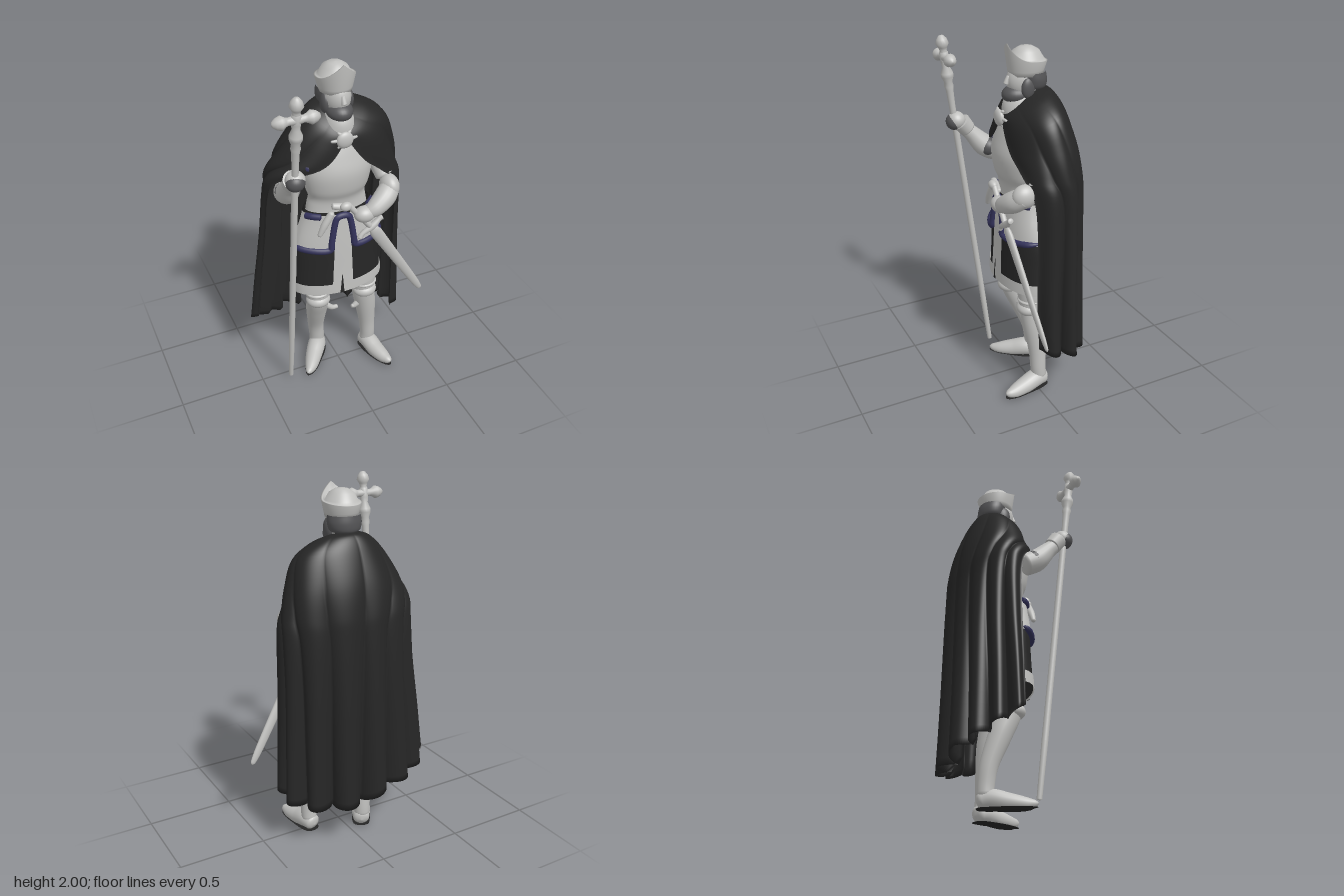
import * as THREE from 'three';

const mat = (name, color, side = THREE.FrontSide) => {
  const m = new THREE.MeshStandardMaterial({ color, side });
  m.name = name;
  return m;
};

// Catmull-Rom through rows of numbers
function spline(rows, t) {
  const n = rows.length - 1, f = Math.min(Math.max(t, 0), 1) * n;
  const i = Math.min(Math.floor(f), n - 1), s = f - i;
  const p = k => rows[Math.min(Math.max(k, 0), n)];
  return rows[0].map((_, c) => {
    const a = p(i - 1)[c], b = p(i)[c], d = p(i + 1)[c], e = p(i + 2)[c];
    return b + 0.5 * s * (d - a + s * (2 * a - 5 * b + 4 * d - e + s * (3 * (b - d) + e - a)));
  });
}

// Surface over u (around) and v (along); closed joins the two u ends
function grid(nu, nv, fn, closed = true) {
  const pos = [], idx = [], w = closed ? nu : nu + 1;
  for (let j = 0; j <= nv; j++) for (let i = 0; i < w; i++) pos.push(...fn(i / nu, j / nv));
  for (let j = 0; j < nv; j++) for (let i = 0; i < nu; i++) {
    const a = j * w + i, b = j * w + (i + 1) % w, c = a + w, d = b + w;
    idx.push(a, b, d, a, d, c);
  }
  const g = new THREE.BufferGeometry();
  g.setAttribute('position', new THREE.Float32BufferAttribute(pos, 3));
  g.setIndex(idx);
  g.computeVertexNormals();
  return g;
}

// Rounded tube through [x, y, z, radius] points
function limb(pts, nv = 32, nu = 18) {
  const at = t => new THREE.Vector3(...spline(pts, t).slice(0, 3));
  const dir = at(1).sub(at(0)).normalize();
  const ref = Math.abs(dir.z) > 0.7 ? new THREE.Vector3(0, 1, 0) : new THREE.Vector3(0, 0, 1);
  return grid(nu, nv, (u, v) => {
    const T = at(Math.min(v + 0.01, 1)).sub(at(Math.max(v - 0.01, 0))).normalize();
    const N = ref.clone().cross(T).normalize(), B = T.clone().cross(N);
    const r = spline(pts, v)[3] * Math.sqrt(Math.max(0, Math.min(1, 12 * v, 12 * (1 - v)))), a = u * Math.PI * 2;
    return at(v).addScaledVector(N, r * Math.cos(a)).addScaledVector(B, r * Math.sin(a)).toArray();
  });
}

// Upright body through [y, rx, rz, cx, cz] rows, bottom to top
const body = (rows, nv = 30) => grid(40, nv, (u, v) => {
  const [y, rx, rz, cx, cz] = spline(rows, v), a = u * Math.PI * 2;
  return [cx + rx * Math.sin(a), y, cz + rz * Math.cos(a)];
});

export function createModel() {
  const root = new THREE.Group();
  const steel = mat('light steel', 0xc0c0be), cloth = mat('black cloth', 0x262626, THREE.DoubleSide);
  const trim = mat('blue trim', 0x33325a, THREE.DoubleSide), hair = mat('dark grey', 0x545456);
  const steelPlate = mat('pale panel', 0xc0c0be, THREE.DoubleSide);
  const add = (name, geo, m, parent = root) => {
    const mesh = new THREE.Mesh(geo, m);
    mesh.name = name;
    parent.add(mesh);
    return mesh;
  };
  const ball = (name, m, x, y, z, rx, ry, rz) => {
    const b = add(name, new THREE.SphereGeometry(1, 28, 18), m);
    b.position.set(x, y, z);
    b.scale.set(rx, ry, rz);
  };

  // Head
  ball('face', steel, 0, 1.805, -0.02, 0.074, 0.1, 0.094);
  add('nose', limb([[0, 1.835, 0.066, 0.01], [0, 1.81, 0.076, 0.013], [0, 1.79, 0.084, 0.014]], 12, 10), steel);
  add('hair', body([[1.755, 0.045, 0.05, 0, -0.065], [1.77, 0.082, 0.074, 0, -0.065], [1.81, 0.094, 0.08, 0, -0.063], [1.85, 0.09, 0.082, 0, -0.055]], 16), hair);
  ball('beard', hair, 0, 1.733, 0.018, 0.07, 0.052, 0.084);
  for (const s of [-1, 1]) ball('sideWhiskers', hair, s * 0.068, 1.775, -0.012, 0.022, 0.055, 0.038);

  // Hat: flared wall peaked in front, domed crown inside
  const hatProfile = [[0.1, 1.835, 0], [0.82, 1.835, 0], [0.87, 1.86, 0], [1, 0, 1], [0.92, 0, 1], [0.82, 1.92, 0], [0.62, 1.957, 0], [0.32, 1.977, 0], [0.001, 1.98, 0]];
  add('hat', grid(48, 8, (u, v) => {
    const a = u * Math.PI * 2, [r, y, isRim] = hatProfile[Math.round(v * 8)];
    const rim = 1.915 + (Math.cos(a) > 0 ? 0.085 * (1 - Math.abs(Math.sin(a))) : 0.012 * Math.cos(a));
    return [r * 0.105 * Math.sin(a), isRim ? rim : y, -0.033 + r * 0.113 * Math.cos(a)];
  }), steel);

  // Neck, breastplate and waist
  add('mailCollar', body([[1.56, 0.1, 0.08, 0, 0.01], [1.65, 0.09, 0.1, 0, 0], [1.71, 0.078, 0.095, 0, -0.01], [1.76, 0.06, 0.07, 0, -0.03]]), steel);
  add('breastplate', body([[1.14, 0.18, 0.105, -0.01, 0], [1.2, 0.17, 0.1, -0.01, 0], [1.25, 0.162, 0.1, -0.01, 0.005], [1.31, 0.18, 0.118, -0.01, 0.01], [1.41, 0.198, 0.128, -0.01, 0.01],
    [1.5, 0.19, 0.115, -0.01, 0], [1.58, 0.14, 0.085, 0, 0], [1.66, 0.07, 0.06, 0, -0.01]]), steel);
  ball('armpitLining', trim, -0.195, 1.465, 0.04, 0.038, 0.042, 0.05);

  // Skirt with panels laid on its front
  const skirtRows = [[0.65, 0.272, 0.142, -0.008, -0.005], [0.8, 0.262, 0.135, -0.008, -0.005], [0.96, 0.25, 0.128, -0.008, -0.005], [1.18, 0.19, 0.11, -0.008, 0]];
  const skirtAt = y => spline(skirtRows, y < 0.8 ? (y - 0.65) / 0.45 : y < 0.96 ? 1 / 3 + (y - 0.8) / 0.48 : 2 / 3 + (y - 0.96) / 0.66);
  add('skirt', body(skirtRows), cloth);
  const onSkirt = (x, y, off) => {
    const [, rx, rz, cx, cz] = skirtAt(y);
    const a = Math.asin(Math.min(1, Math.max(-1, (x - cx) / rx)));
    return [cx + (rx + off) * Math.sin(a), y, cz + (rz + off) * Math.cos(a)];
  };
  // Panel from bottom edge l0..r0 at y0 to top edge l1..r1 at y1
  const panel = (name, m, y0, l0, r0, y1, l1, r1, off) => add(name, grid(24, 12, (u, v) => {
    const l = l0 + (l1 - l0) * v, r = r0 + (r1 - r0) * v;
    return onSkirt(l + (r - l) * u, y0 + (y1 - y0) * v, off);
  }, false), m);
  panel('skirtHem', steelPlate, 0.645, -0.29, 0.28, 0.71, -0.29, 0.27, 0.006);
  panel('skirtCentreStrip', steelPlate, 0.66, -0.09, 0.035, 1.15, -0.06, 0.02, 0.007);
  panel('skirtSlit', cloth, 0.645, -0.047, -0.023, 0.77, -0.034, -0.031, 0.011);
  panel('rightTasset', steelPlate, 0.95, -0.27, -0.085, 1.17, -0.21, -0.055, 0.012);
  panel('leftTasset', steelPlate, 0.95, 0.035, 0.26, 1.17, 0.015, 0.2, 0.012);

  // Raised blue edging
  const edging = (name, pts) => add(name, limb(pts.map(([x, y]) => [...onSkirt(x, y, 0.012), 0.018]), 56, 10), trim);
  edging('tassetEdging', [[-0.256, 0.965], [-0.24, 0.957], [-0.17, 0.95], [-0.097, 0.95], [-0.087, 1.0], [-0.065, 1.12], [-0.045, 1.155],
    [0.0, 1.155], [0.02, 1.12], [0.037, 1.0], [0.047, 0.955], [0.13, 0.95], [0.21, 0.957], [0.24, 0.965]]);
  edging('upperRightEdging', [[-0.195, 1.155], [-0.17, 1.16], [-0.13, 1.16]]);
  edging('upperLeftEdging', [[0.13, 1.165], [0.16, 1.165], [0.178, 1.16]]);

  // Cloak rows: y, left width, right width, z centre, back depth, front depth, left opening, right opening, tilt, pleat depth
  const cloakRows = [
    [1.765, 0.075, 0.075, -0.03, 0.1, 0.1, 1, 1, 0.09, 0],
    [1.745, 0.18, 0.145, -0.03, 0.135, 0.135, 0.99, 0.99, 0.12, 0.002],
    [1.67, 0.287, 0.22, -0.045, 0.16, 0.162, 0.96, 0.95, 0.11, 0.004],
    [1.52, 0.34, 0.31, -0.07, 0.185, 0.2, 0.89, 0.85, 0.07, 0.008],
    [1.37, 0.367, 0.375, -0.08, 0.2, 0.225, 0.8, 0.62, 0.01, 0.012],
    [1.24, 0.38, 0.39, -0.08, 0.205, 0.262, 0.7, 0.54, 0, 0.015],
    [0.95, 0.375, 0.41, -0.08, 0.205, 0.268, 0.67, 0.52, 0, 0.024],
    [0.6, 0.372, 0.445, -0.08, 0.202, 0.268, 0.67, 0.51, 0, 0.036],
    [0.25, 0.375, 0.475, -0.08, 0.203, 0.262, 0.66, 0.5, 0, 0.047]];
  add('cloak', grid(192, 90, (uu, vv) => {
    const u = uu * 2 - 1, inner = vv > 0.5, v = inner ? 2 - 2 * vv : 2 * vv;
    const [y, rl, rr, zc, rb, rf, ol, or, tilt, pleat] = spline(cloakRows, v);
    const a = u * Math.PI * (u > 0 ? ol : or), c = Math.cos(a);
    const fold = pleat * (2 * Math.abs(Math.sin(u * Math.PI * 4 + 0.35 * Math.sin(v * 5) * (1 - v))) ** 0.7 - 1) * (1 - u ** 16);
    const off = fold - (inner ? 0.026 * (1 - u ** 12) : 0);
    const rise = v ** 4 * (u > 0 ? 0.09 * u * u : 0.14 * u * u + 0.05 * Math.min(1, -6 * u));
    return [((u > 0 ? rl : rr) + off) * Math.sin(a), y + rise - tilt * ((1 - c) / 2) ** 2, zc - ((c > 0 ? rb : rf) + off) * c];
  }, false), cloth);

  // Clasp with ray points
  ball('clasp', steel, -0.012, 1.615, 0.118, 0.046, 0.046, 0.022);
  for (let i = 0; i < 6; i++) {
    const a = i * Math.PI / 3, c = Math.cos(a), s = Math.sin(a);
    add('claspRay', limb([[-0.012 + 0.035 * c, 1.615 + 0.035 * s, 0.115, 0.011], [-0.012 + 0.075 * c, 1.615 + 0.05 * s, 0.108, 0.006]], 8, 8), steel);
  }

  // Right arm raised to the staff
  add('rightUpperArm', limb([[-0.18, 1.5, -0.04, 0.055], [-0.25, 1.42, -0.04, 0.055], [-0.305, 1.31, 0.0, 0.058]]), steel);
  add('rightForearm', limb([[-0.305, 1.31, -0.01, 0.06], [-0.315, 1.355, 0.07, 0.062], [-0.325, 1.43, 0.14, 0.046], [-0.33, 1.49, 0.2, 0.036]]), steel);
  ball('rightElbowSleeve', hair, -0.308, 1.35, 0.055, 0.068, 0.058, 0.06);
  add('rightCuff', limb([[-0.33, 1.455, 0.16, 0.046], [-0.33, 1.51, 0.205, 0.054]], 12), steel);
  ball('rightHand', steel, -0.33, 1.52, 0.228, 0.052, 0.05, 0.05);
  ball('rightGlovePalm', hair, -0.334, 1.513, 0.242, 0.05, 0.046, 0.044);

  // Left arm bent to the sword hilt
  add('leftUpperArm', limb([[0.17, 1.48, -0.03, 0.052], [0.225, 1.4, -0.02, 0.052], [0.26, 1.29, 0.06, 0.05]]), steel);
  ball('leftElbowGuard', steel, 0.26, 1.267, 0.105, 0.052, 0.066, 0.07);
  add('leftForearm', limb([[0.275, 1.275, 0.1, 0.05], [0.22, 1.23, 0.14, 0.06], [0.15, 1.19, 0.165, 0.05], [0.1, 1.17, 0.165, 0.035]]), steel);
  ball('leftHand', steel, 0.085, 1.165, 0.165, 0.06, 0.046, 0.048);

  // Sword
  add('swordGrip', limb([[-0.01, 1.245, 0.155, 0.016], [0.13, 1.06, 0.155, 0.016]]), steel);
  ball('swordPommel', steel, -0.02, 1.235, 0.155, 0.034, 0.026, 0.024);
  add('swordGuard', limb([[0.06, 1.0, 0.155, 0.018], [0.08, 1.03, 0.155, 0.014], [0.14, 1.065, 0.155, 0.02], [0.18, 1.1, 0.155, 0.014], [0.2, 1.11, 0.155, 0.018]]), steel);
  const blade = add('swordBlade', limb([[0, 0, 0, 0.036], [0, -0.3, 0, 0.03], [0, -0.62, 0, 0.023], [0, -0.715, 0, 0.012]]), steel);
  blade.scale.z = 0.55;
  blade.position.set(0.135, 1.06, 0.155);
  blade.rotation.set(0.1, 0, 0.55);

  // Dagger on the belt
  add('dagger', limb([[-0.165, 1.06, 0.125, 0.012], [-0.13, 1.13, 0.125, 0.02], [-0.085, 1.2, 0.125, 0.018]]), steel);
  add('daggerGuard', limb([[-0.09, 1.235, 0.12, 0.016], [-0.04, 1.225, 0.13, 0.02], [0.03, 1.21, 0.14, 0.012]]), steel);

  // Staff topped with a flared cross
  const staff = new THREE.Group();
  staff.name = 'staff';
  staff.position.set(-0.335, 0.02, 0.05);
  staff.rotation.x = Math.atan(0.125);
  root.add(staff);
  const lathe = pts => new THREE.LatheGeometry(pts.map(p => new THREE.Vector2(...p)), 20);
  add('staffShaft', lathe([[0, 0], [0.014, 0.005], [0.017, 0.3], [0.018, 1.6], [0.021, 1.69], [0.026, 1.71], [0.022, 1.735], [0.034, 1.765],
    [0.034, 1.785], [0.02, 1.82], [0.024, 1.85], [0.024, 1.9], [0, 1.92]]), steel, staff);
  for (const turn of [0, 1, -1]) {
    const arm = add('crossArm', lathe([[0.024, 0], [0.019, 0.04], [0.024, 0.055], [0.036, 0.075], [0.028, 0.1], [0.014, 0.118], [0, 0.122]]), steel, staff);
    arm.position.y = 1.872;
    arm.rotation.z = turn * Math.PI / 2;
  }

  // Legs and feet
  const makeLeg = (side, leg, knee, foot) => {
    add(side + 'Leg', limb(leg, 48, 22), steel);
    const [kx, ky, kz] = knee;
    ball(side + 'KneeGuard', steel, kx, ky, kz, 0.072, 0.045, 0.066);
    ball(side + 'KneeRim', steel, kx, ky + 0.055, kz - 0.005, 0.074, 0.02, 0.066);
    const shoe = limb(foot, 32, 20), sole = shoe.clone();
    for (const [g, lo, hi] of [[shoe, 0.012, 1], [sole, 0, 0.013]]) {
      const p = g.attributes.position;
      for (let i = 0; i < p.count; i++) p.setY(i, Math.min(hi, Math.max(lo, p.getY(i))));
      g.computeVertexNormals();
    }
    add(side + 'Shoe', shoe, steel);
    add(side + 'Sole', sole, cloth);
  };
  makeLeg('right', [[-0.13, 0.78, -0.02, 0.085], [-0.13, 0.64, -0.01, 0.076], [-0.125, 0.52, -0.01, 0.066], [-0.115, 0.4, -0.055, 0.063], [-0.1, 0.24, -0.11, 0.05], [-0.09, 0.13, -0.125, 0.046], [-0.09, 0.05, -0.125, 0.045]],
    [-0.13, 0.525, 0.01], [[-0.065, 0.045, -0.165, 0.042], [-0.1, 0.06, -0.1, 0.054], [-0.15, 0.042, -0.03, 0.05], [-0.2, 0.03, 0.045, 0.036], [-0.24, 0.032, 0.095, 0.012]]);
  makeLeg('left', [[0.14, 0.78, 0, 0.085], [0.155, 0.64, 0.01, 0.078], [0.16, 0.52, 0.01, 0.068], [0.18, 0.4, 0, 0.064], [0.2, 0.24, -0.01, 0.05], [0.208, 0.13, -0.012, 0.045], [0.205, 0.05, -0.02, 0.045]],
    [0.16, 0.525, 0.03], [[0.195, 0.045, -0.065, 0.042], [0.21, 0.06, 0.0, 0.052], [0.225, 0.042, 0.08, 0.05], [0.245, 0.035, 0.16, 0.038], [0.26, 0.045, 0.22, 0.014]]);
  // Small wings beside the knees
  add('rightKneeWing', limb([[-0.07, 0.43, -0.03, 0.02], [-0.03, 0.4, -0.02, 0.016], [0.01, 0.395, -0.02, 0.012]], 12, 10), steel);
  add('leftKneeWing', limb([[0.13, 0.42, 0.02, 0.02], [0.1, 0.4, 0.02, 0.016], [0.08, 0.4, 0.02, 0.01]], 12, 10), steel);

  return root;
}
